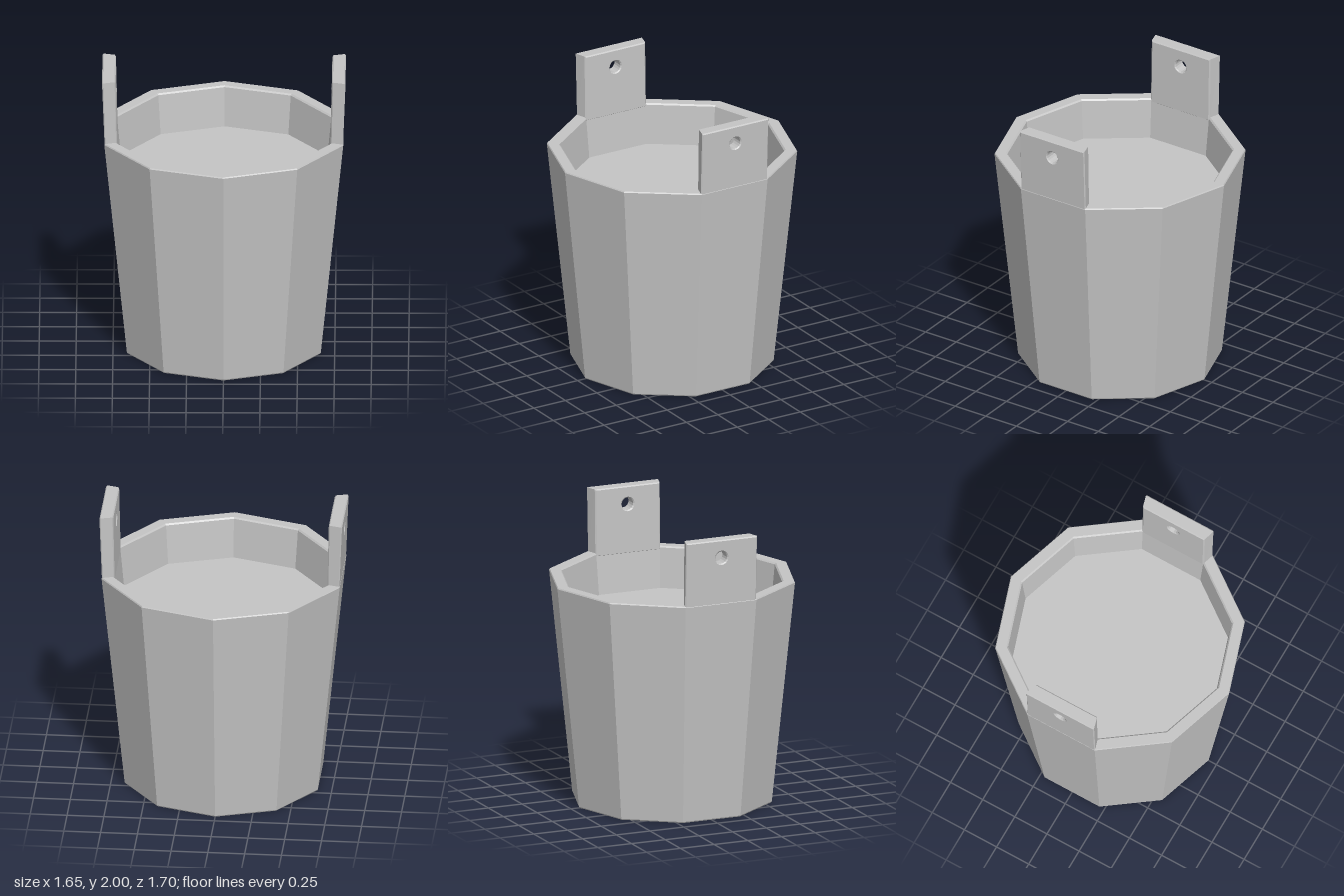
import * as THREE from 'three';

const lerp = THREE.MathUtils.lerp;

// Split the faces so that every facet keeps its own flat normal
function faceted(geometry) {
  const flat = geometry.toNonIndexed();
  flat.computeVertexNormals();
  return flat;
}

// Ten-sided tub: recessed base, sloping wall, chamfered rim and raised floor
function tubGeometry() {
  const profile = [
    [0, 0.035], [0.615, 0.035], [0.62, 0], [0.685, 0], [0.69, 0.008],
    [0.85, 1.548], [0.845, 1.556], [0.772, 1.556], [0.762, 1.546],
    [0.735, 1.27], [0, 1.27],
  ].map(([r, y]) => new THREE.Vector2(r, y));
  return faceted(new THREE.LatheGeometry(profile, 10));
}

// Upright ear with a drilled hole, leaning out slightly and narrower inside
function earGeometry() {
  const half = 0.265, base = 1.53, top = 2, bevel = 0.008;
  const shape = new THREE.Shape();
  shape.moveTo(-half, base);
  shape.lineTo(half, base);
  shape.lineTo(half, top);
  shape.lineTo(-half, top);
  shape.closePath();
  const hole = new THREE.Path();
  hole.absarc(0, 1.875, 0.043, 0, Math.PI * 2, true);
  shape.holes.push(hole);

  const geometry = new THREE.ExtrudeGeometry(shape, {
    depth: 1 - 0.16, curveSegments: 8, bevelEnabled: true, bevelSegments: 1,
    bevelThickness: 0.08, bevelSize: bevel, bevelOffset: -bevel,
  });
  const p = geometry.attributes.position;
  for (let i = 0; i < p.count; i++) {
    const t = p.getZ(i) + 0.08; // 0 at the inner face, 1 at the outer face
    const y = p.getY(i);
    const rise = (y - base) / (top - base);
    const x = lerp(lerp(0.722, 0.732, rise), lerp(0.806, 0.824, rise), t);
    const hole = Math.hypot(p.getX(i), y - 1.875) < 0.1;
    const z = -p.getX(i) * (hole ? 1 : lerp(0.9, 1, t));
    p.setXYZ(i, x, y, z);
  }
  geometry.computeVertexNormals();
  return geometry;
}

export function createModel() {
  const model = new THREE.Group();
  model.name = 'bucket';
  const grey = new THREE.MeshStandardMaterial({ color: 0xc4c4c4 });
  grey.name = 'plain grey';

  const tub = new THREE.Mesh(tubGeometry(), grey);
  tub.name = 'tub';
  model.add(tub);

  // The same ear stands on both sides
  const ear = earGeometry();
  ['leftEar', 'rightEar'].forEach((name, i) => {
    const mesh = new THREE.Mesh(ear, grey);
    mesh.name = name;
    mesh.rotation.y = i * Math.PI;
    model.add(mesh);
  });
  return model;
}
